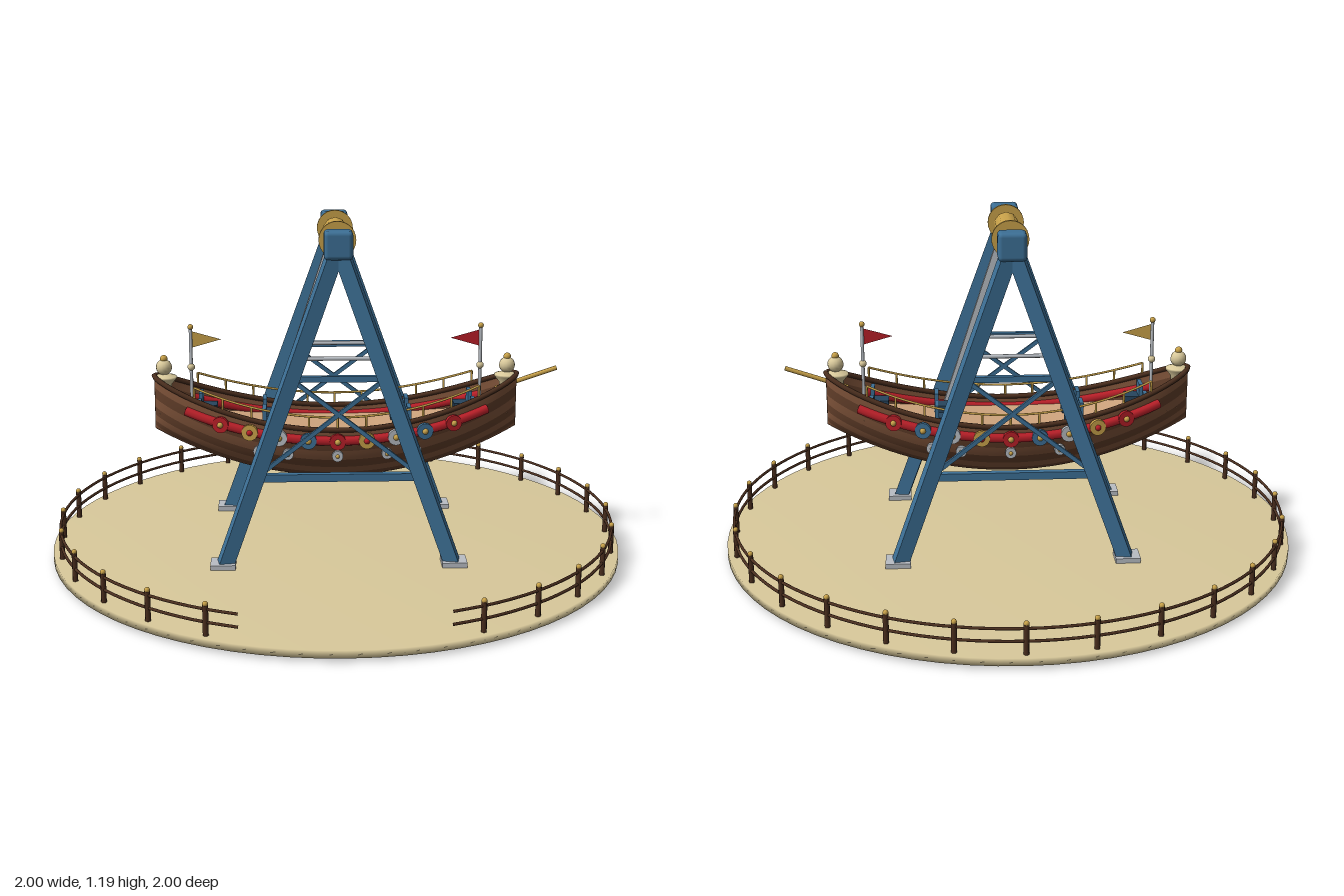
import * as THREE from 'three';
import { mergeVertices } from 'three/addons/utils/BufferGeometryUtils.js';
import { RoundedBoxGeometry } from 'three/addons/geometries/RoundedBoxGeometry.js';

const mat = (name, color, side = THREE.FrontSide) =>
  Object.assign(new THREE.MeshStandardMaterial({ color, side }), { name });

export function createModel() {
  const M = {
    sand: mat('sand', 0xd9c99b),
    blue: mat('steel blue', 0x3d7096),
    navy: mat('navy seat', 0x27455e),
    dark: mat('dark wood', 0x4a2e1e),
    plank: mat('plank brown', 0x80543a, THREE.DoubleSide),
    plankDark: mat('deep plank brown', 0x633f2a, THREE.DoubleSide),
    gold: mat('gold', 0xc9a24a, THREE.DoubleSide),
    steel: mat('pale steel', 0xb9bec4),
    red: mat('red', 0xb81f28, THREE.DoubleSide),
    deck: mat('deck tan', 0xd0a57e, THREE.DoubleSide),
  };
  const root = new THREE.Group();
  root.name = 'swingingShipRide';
  const group = (name) => {
    const g = new THREE.Group();
    g.name = name;
    root.add(g);
    return g;
  };
  const V = (x, y, z) => new THREE.Vector3(x, y, z);
  const add = (parent, name, geo, material, x = 0, y = 0, z = 0) => {
    const m = new THREE.Mesh(geo, material);
    m.name = name;
    m.position.set(x, y, z);
    parent.add(m);
    return m;
  };
  // Square beam or round rod between two points
  const beam = (parent, name, a, b, w, h, material) => {
    const m = add(parent, name, new THREE.BoxGeometry(w, h, a.distanceTo(b)), material);
    m.position.copy(a).add(b).multiplyScalar(0.5);
    m.lookAt(b);
    return m;
  };
  const rod = (parent, name, a, b, r, material) => {
    const m = add(parent, name, new THREE.CylinderGeometry(r, r, a.distanceTo(b), 10), material);
    m.position.copy(a).add(b).multiplyScalar(0.5);
    m.quaternion.setFromUnitVectors(V(0, 1, 0), b.clone().sub(a).normalize());
    return m;
  };
  const tube = (parent, name, pts, r, material) =>
    add(parent, name, new THREE.TubeGeometry(new THREE.CatmullRomCurve3(pts), pts.length * 2, r, 8), material);
  const ball = (parent, name, r, material, x, y, z) =>
    add(parent, name, new THREE.SphereGeometry(r, 14, 10), material, x, y, z);

  // Round platform with a softened edge
  let disc = new THREE.CylinderGeometry(1, 1, 0.025, 72);
  disc.deleteAttribute('uv');
  disc.deleteAttribute('normal');
  disc = mergeVertices(disc);
  disc.computeVertexNormals();
  add(root, 'platform', disc, M.sand, 0, 0.0245, 0);

  // Fence with an entrance gap at the front
  const fence = group('fence');
  const step = (Math.PI * 2) / 28, R = 0.972;
  const onRing = (k, y) => V(R * Math.sin(k * step), y, R * Math.cos(k * step));
  for (let k = 2; k <= 26; k++) {
    const p = onRing(k, 0.085);
    add(fence, 'fencePost', new THREE.CylinderGeometry(0.009, 0.009, 0.1, 8), M.dark, p.x, p.y, p.z);
    ball(fence, 'postCap', 0.009, M.gold, p.x, 0.139, p.z);
  }
  for (const y of [0.08, 0.122]) {
    const pts = [];
    for (let k = 1.5; k <= 26.5; k += 0.5) pts.push(onRing(k, y));
    tube(fence, 'fenceRail', pts, 0.005, M.dark);
  }

  // Two A-frames
  const axleY = 1.125;
  for (const s of [1, -1]) {
    const frame = group(s > 0 ? 'frontFrame' : 'backFrame');
    const legAt = (sx, y) => {
      const f = (axleY - y) / 1.1;
      return V(sx * 0.392 * f, y, s * (0.237 + 0.07 * f));
    };
    for (const sx of [1, -1]) {
      beam(frame, 'leg', legAt(sx, 0.01), legAt(sx, 1.12), 0.048, 0.05, M.blue);
      add(frame, 'footPlate', new THREE.BoxGeometry(0.085, 0.018, 0.08), M.steel, sx * 0.392, 0.045, s * 0.305);
      beam(frame, 'crossBrace', legAt(sx, 0.68), legAt(-sx, 0.345), 0.012, 0.014, M.blue);
    }
    beam(frame, 'upperBar', legAt(-1, 0.68), legAt(1, 0.68), 0.02, 0.02, M.blue);
    beam(frame, 'lowerBar', legAt(-1, 0.345), legAt(1, 0.345), 0.024, 0.026, M.blue);
    add(frame, 'bearingBlock', new RoundedBoxGeometry(0.096, 0.096, 0.075, 2, 0.015), M.blue, 0, axleY, s * 0.238);
  }

  // Axle, drum, flanges and hangers
  const axle = group('axle');
  rod(axle, 'axleShaft', V(0, axleY, -0.22), V(0, axleY, 0.22), 0.032, M.steel);
  rod(axle, 'drum', V(0, axleY, -0.11), V(0, axleY, 0.11), 0.042, M.gold);
  for (const s of [1, -1]) {
    const flange = add(axle, 'flange', new THREE.CylinderGeometry(0.063, 0.063, 0.012, 28), M.gold, 0, axleY, s * 0.137);
    flange.rotation.x = Math.PI / 2;
    for (const sx of [1, -1])
      beam(axle, 'hanger', V(0, axleY, s * 0.122), V(sx * 0.22, 0.45, s * 0.122), 0.024, 0.024, M.steel);
    rod(axle, 'hangerTie', V(-0.133, 0.715, s * 0.122), V(0.133, 0.715, s * 0.122), 0.007, M.steel);
  }

  // Hull rules: sheer, keel, half-width and deck height along x
  const L = 0.635;
  const sheer = (x) => 0.475 + 0.155 * (x / L) ** 2;
  const keel = (x) => 0.27 + 0.17 * (x / L) ** 2;
  const half = (x) => 0.17 * Math.sqrt(Math.max(0, 1 - (x / L) ** 2));
  const deckY = (x) => 0.445 + 0.06 * (x / L) ** 2;
  const hullPoint = (x, a, s) =>
    V(x, keel(x) + (sheer(x) - keel(x)) * (1 - Math.cos(a)), s * half(x) * Math.sin(a) ** 0.8);
  const hullZ = (x, y) => {
    const c = 1 - (y - keel(x)) / (sheer(x) - keel(x));
    return half(x) * Math.sqrt(Math.max(0, 1 - c * c)) ** 0.8;
  };
  // Grid surface from a rule f(u, v)
  const surface = (f, nu, nv) => {
    const pos = [], idx = [];
    for (let i = 0; i <= nu; i++)
      for (let j = 0; j <= nv; j++) {
        pos.push(...f(i / nu, j / nv).toArray());
        if (i < nu && j < nv) {
          const a = i * (nv + 1) + j, b = a + nv + 1;
          idx.push(a, a + 1, b, b, a + 1, b + 1);
        }
      }
    const g = new THREE.BufferGeometry();
    g.setAttribute('position', new THREE.Float32BufferAttribute(pos, 3));
    g.setIndex(idx);
    g.computeVertexNormals();
    return g;
  };
  const along = (u) => L * Math.sin((u - 0.5) * Math.PI);

  const ship = group('ship');
  const strakes = 8;
  for (const s of [1, -1])
    for (let i = 0; i < strakes; i++)
      add(ship, 'hullPlank', surface((u, v) =>
        hullPoint(along(s > 0 ? 1 - u : u), ((i + v) / strakes) * Math.PI / 2, s), 40, 3),
      i % 2 ? M.plank : M.plankDark);
  add(ship, 'deck', surface((u, v) => {
    const x = along(u), y = deckY(x);
    return V(x, y, (v * 2 - 1) * hullZ(x, y));
  }, 40, 2), M.deck);

  // Gunwales, handrails, red bands, shields and lamps on both sides
  const shieldColors = [M.red, M.gold, M.steel, M.blue];
  const bandY = (x) => 0.437 + 0.135 * (x / L) ** 2;
  for (const s of [1, -1]) {
    const edge = [], rail = [], band = [];
    for (let i = 0; i <= 24; i++) {
      const x = along(i / 24), xr = -0.49 + (0.98 * i) / 24, xb = xr * 1.06;
      edge.push(V(x, sheer(x), s * half(x)));
      rail.push(V(xr, sheer(xr) + 0.045, s * half(xr)));
      band.push(V(xb, bandY(xb), s * (hullZ(xb, bandY(xb)) + 0.004)));
    }
    tube(ship, 'gunwale', edge, 0.009, M.dark);
    tube(ship, 'handrail', rail, 0.004, M.gold);
    tube(ship, 'redBand', band, 0.017, M.red);
    for (let i = 0; i <= 10; i++) {
      const x = -0.49 + 0.098 * i, z = s * half(x);
      rod(ship, 'railPost', V(x, sheer(x), z), V(x, sheer(x) + 0.045, z), 0.004, M.gold);
    }
    const plaque = (name, r, x, y, material) => {
      const z = s * (hullZ(x, y) + 0.016);
      const turn = -Math.atan((half(x + 0.01) - half(x - 0.01)) / 0.02);
      const g = new THREE.Group();
      g.name = name;
      g.position.set(x, y, z);
      g.rotation.y = s > 0 ? turn : Math.PI - turn;
      const d = add(g, name + 'Disc', new THREE.CylinderGeometry(r, r, 0.014, 20), material);
      d.rotation.x = Math.PI / 2;
      ball(g, name + 'Boss', r * 0.38, material === M.gold ? M.red : M.gold, 0, 0, 0.006);
      ship.add(g);
    };
    for (let i = 0; i < 9; i++) plaque('shield', 0.028, -0.4 + i * 0.1, bandY(-0.4 + i * 0.1), shieldColors[i % 4]);
    for (const x of [-0.27, -0.17, 0, 0.17, 0.27]) plaque('lamp', 0.019, x, 0.383 + 0.2 * x * x, M.steel);
  }

  // Seats
  for (const x of [-0.45, -0.225, 0.225, 0.45])
    for (const z of [-0.065, 0.065]) {
      const y = deckY(x);
      add(ship, 'seat', new THREE.BoxGeometry(0.06, 0.035, 0.062), M.navy, x, y + 0.0175, z);
      add(ship, 'seatBack', new THREE.BoxGeometry(0.014, 0.08, 0.062), M.blue, x + Math.sign(x) * 0.026, y + 0.04, z);
    }

  // End figures, flag poles and pennants
  const bust = [[0, 0.57], [0.022, 0.57], [0.024, 0.6], [0.042, 0.622], [0.04, 0.628], [0.014, 0.636], [0, 0.64]]
    .map(([r, y]) => new THREE.Vector2(r, y));
  for (const s of [1, -1]) {
    add(ship, 'figureBase', new THREE.LatheGeometry(bust, 20), M.sand, s * 0.597, 0, 0);
    ball(ship, 'figureHead', 0.028, M.sand, s * 0.6, 0.66, 0);
    ball(ship, 'figureCrown', 0.013, M.gold, s * 0.6, 0.69, 0);
    rod(ship, 'flagPole', V(s * 0.505, 0.48, 0), V(s * 0.505, 0.8, 0), 0.006, M.steel);
    ball(ship, 'poleCollar', 0.013, M.sand, s * 0.505, 0.66, 0);
    ball(ship, 'poleTop', 0.01, M.gold, s * 0.505, 0.802, 0);
    const pennant = new THREE.Shape([[0, 0.03], [-s * 0.105, 0], [0, -0.03]].map((p) => new THREE.Vector2(...p)));
    add(ship, 'pennant', new THREE.ShapeGeometry(pennant), s > 0 ? M.red : M.gold, s * 0.505, 0.758, 0);
  }
  rod(ship, 'bowsprit', V(0.56, 0.575, 0), V(0.775, 0.648, 0), 0.008, M.gold);
  return root;
}
